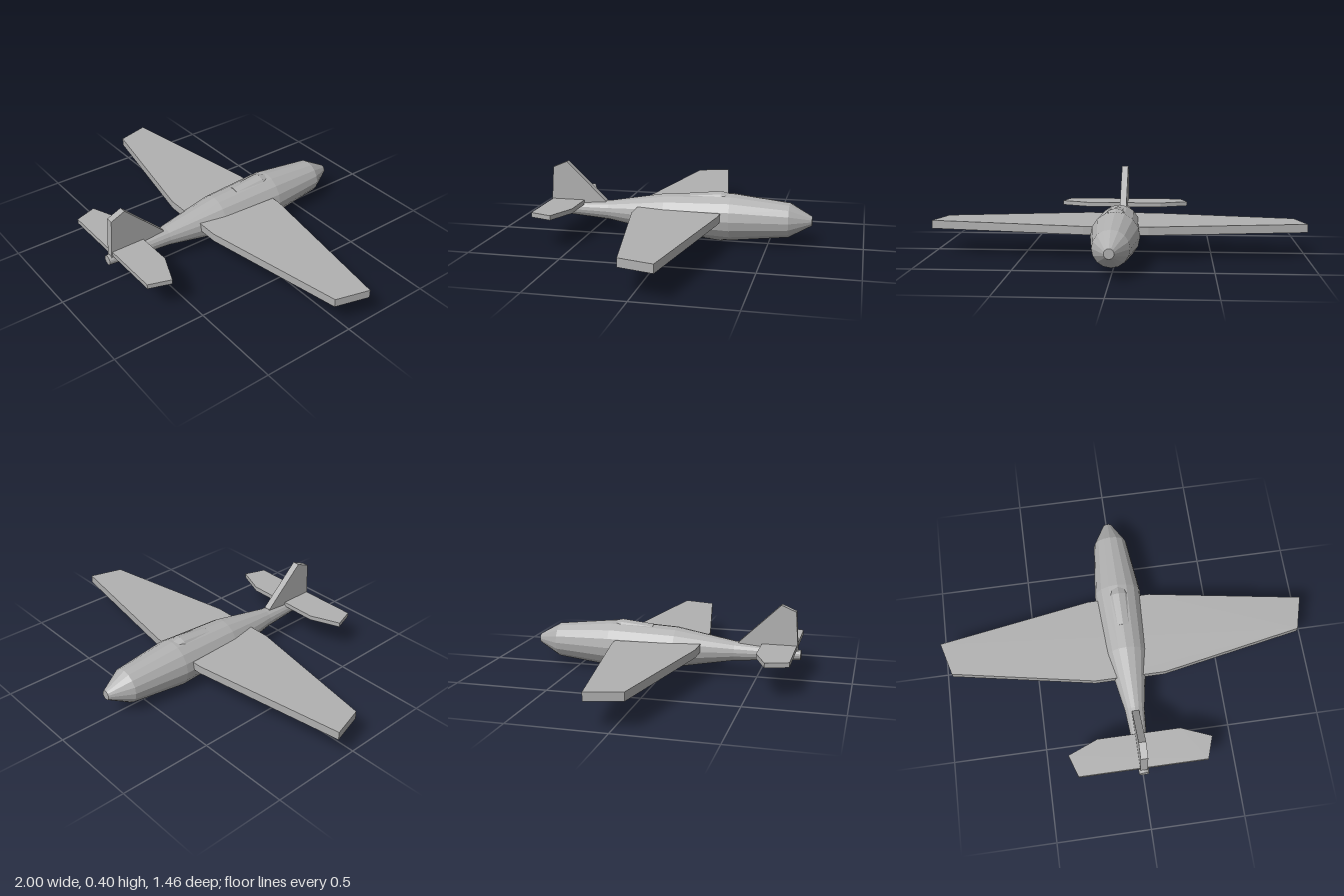
import * as THREE from 'three';

const AXIS_Y = 0.138;

// Lathe lying along z; profile is [radius, z] from nose to tail
function body(name, profile, sides, material) {
  const points = profile.map(([r, z]) => new THREE.Vector2(r, z));
  const geometry = new THREE.LatheGeometry(points, sides).rotateX(Math.PI / 2);
  const mesh = new THREE.Mesh(geometry, material);
  mesh.name = name;
  mesh.position.y = AXIS_Y;
  return mesh;
}

function slab(points, depth) {
  const shape = new THREE.Shape(points.map(([a, b]) => new THREE.Vector2(a, b)));
  return new THREE.ExtrudeGeometry(shape, { depth, bevelEnabled: false });
}

// Flat plate mirrored in x; half outline is [x, z] from leading to trailing edge
function plate(name, half, bottom, top, material) {
  const mirrored = half.map(([x, z]) => [-x, z]).reverse();
  const geometry = slab([...half, ...mirrored], top - bottom).rotateX(Math.PI / 2);
  const mesh = new THREE.Mesh(geometry, material);
  mesh.name = name;
  mesh.position.y = top;
  return mesh;
}

export function createModel() {
  const model = new THREE.Group();
  model.name = 'airplane';
  const grey = new THREE.MeshStandardMaterial({ color: 0xb0b0b0, flatShading: true });
  grey.name = 'grey';

  // Fuselage, nose towards -z
  const fuselage = body('fuselage', [
    [0, -0.73], [0.025, -0.73], [0.093, -0.61], [0.128, -0.3], [0.11, 0.06],
    [0.053, 0.38], [0.026, 0.73], [0, 0.73],
  ], 16, grey);

  // Slim cockpit body, just proud of the fuselage above and below
  const cockpit = body('cockpit', [
    [0, -0.3], [0.124, -0.3], [0.138, -0.245], [0.12, -0.07], [0, -0.07],
  ], 16, grey);
  cockpit.scale.x = 0.65;

  const wing = plate('wing', [
    [0.17, -0.255], [1, -0.12], [0.95, 0.06], [0.19, 0.205],
  ], 0.137, 0.181, grey);

  const tailplane = plate('tailplane', [
    [0.22, 0.525], [0.38, 0.59], [0.34, 0.708],
  ], 0.165, 0.19, grey);

  // Upright fin, outline in [z, y]
  const finGeometry = slab([
    [0.715, 0.155], [0.7, 0.37], [0.622, 0.403], [0.4, 0.19], [0.4, 0.155],
  ], 0.038).rotateY(-Math.PI / 2).translate(0.019, 0, 0);
  const fin = new THREE.Mesh(finGeometry, grey);
  fin.name = 'tailFin';

  model.add(fuselage, cockpit, wing, tailplane, fin);
  return model;
}
